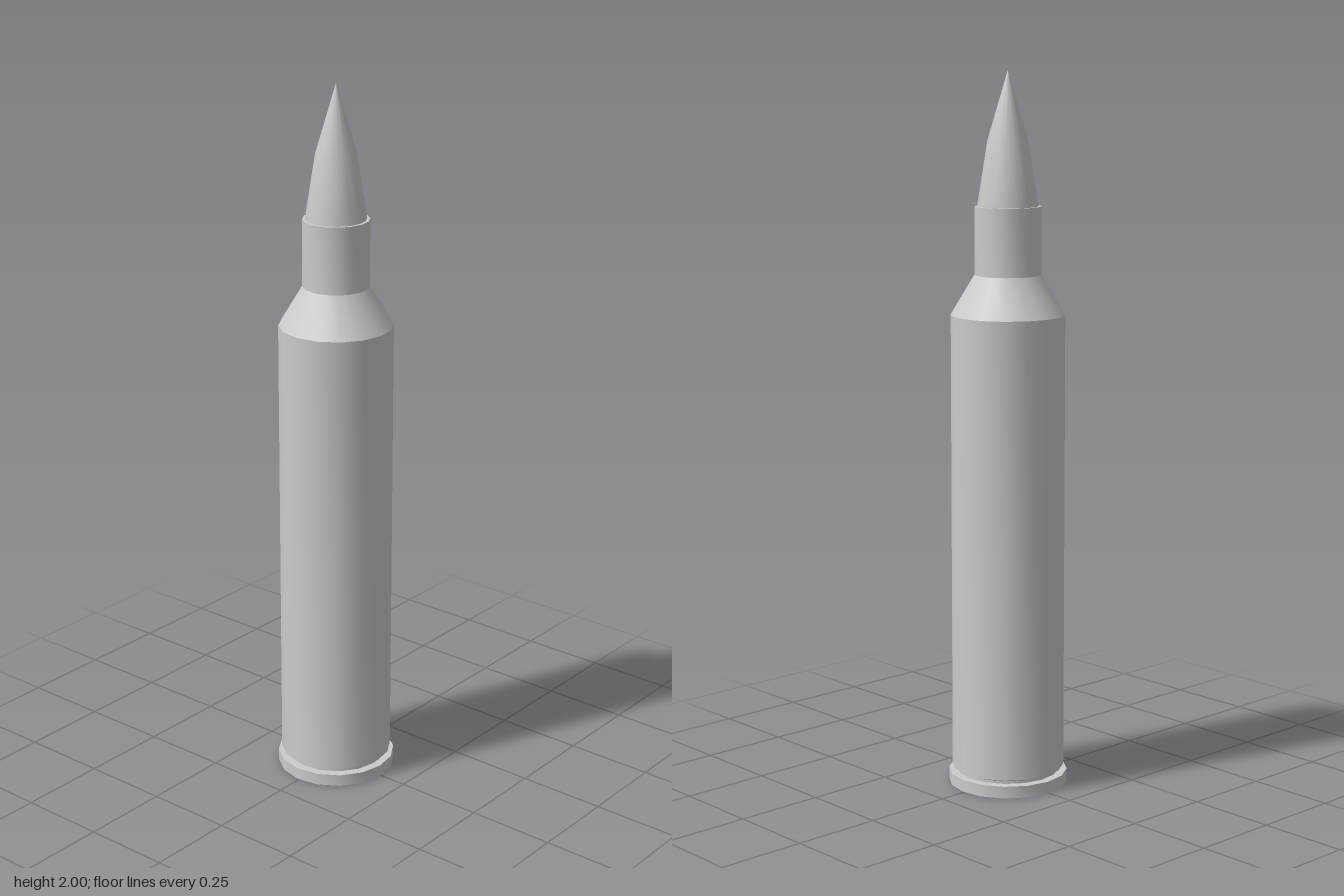
import * as THREE from 'three';
import { toCreasedNormals } from 'three/addons/utils/BufferGeometryUtils.js';

const SIDES = 16;
const material = new THREE.MeshStandardMaterial({ color: 0xcccccc });

// Revolve a [radius, height] profile, listed from the bottom up
function turned(name, profile) {
  const points = profile.map(([r, y]) => new THREE.Vector2(r, y));
  const geometry = toCreasedNormals(new THREE.LatheGeometry(points, SIDES), 0.45);
  const mesh = new THREE.Mesh(geometry, material);
  mesh.name = name;
  return mesh;
}

export function createModel() {
  const group = new THREE.Group();
  group.name = 'cartridge';

  // Primer, set slightly into the base
  group.add(turned('primer', [[0, 0.012], [0.08, 0.012]]));

  // Case: primer pocket, rim, extractor groove, body, shoulder, neck and mouth
  group.add(turned('case', [
    [0.08, 0.012], [0.087, 0], [0.168, 0],
    [0.168, 0.034], [0.144, 0.034], [0.144, 0.042], [0.158, 0.048],
    [0.158, 1.335], [0.092, 1.445], [0.092, 1.632], [0.083, 1.632],
  ]));

  // Pointed bullet seated in the neck
  group.add(turned('bullet', [[0.084, 1.62], [0.083, 1.64], [0.056, 1.81], [0, 2]]));

  group.rotation.y = -0.03;
  return group;
}
